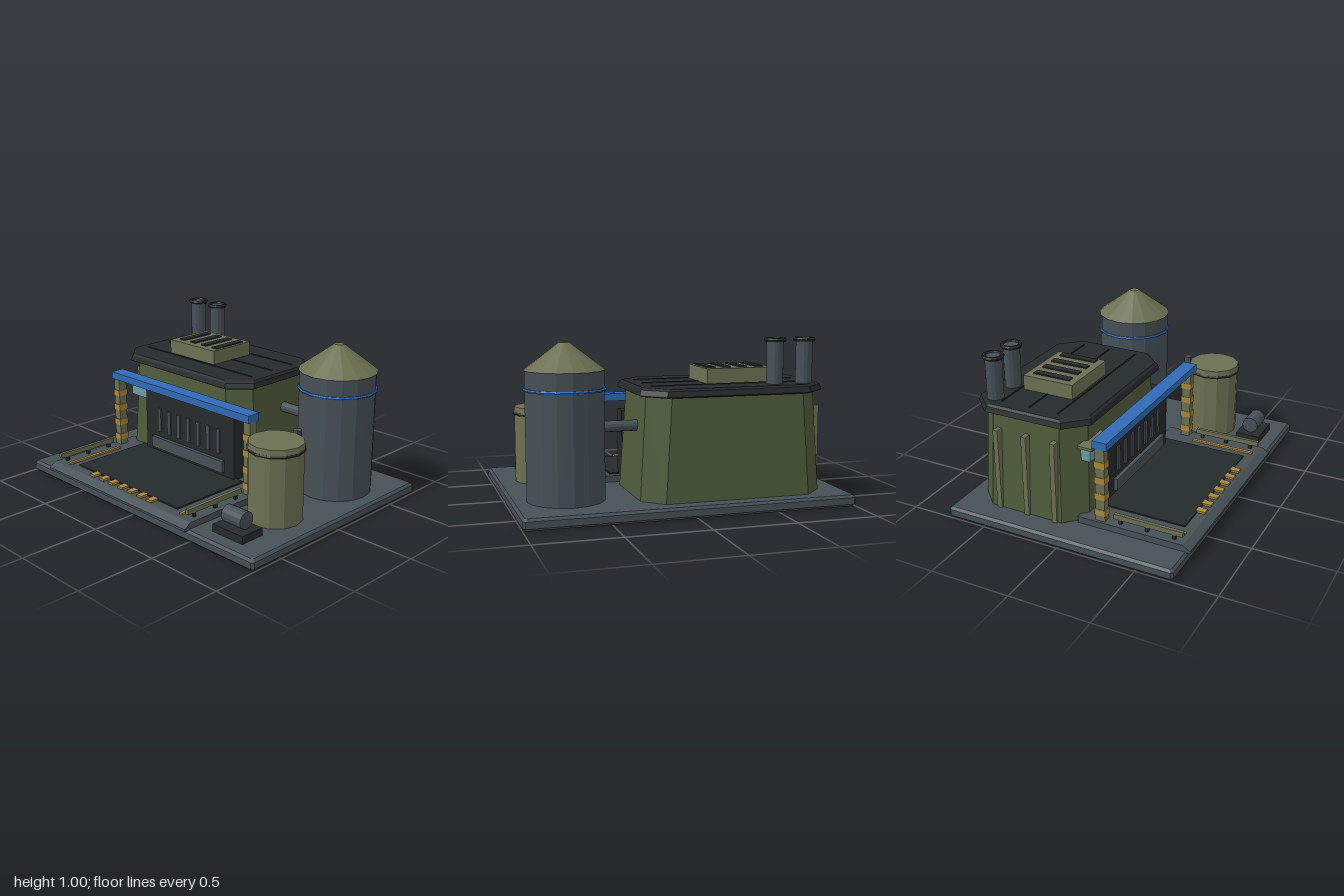
import * as THREE from 'three';

const mat = (color) => new THREE.MeshStandardMaterial({ color, flatShading: true });
const M = {
  steel: mat(0x465056), wall: mat(0x4f5b3c), olive: mat(0x6b7052), dark: mat(0x252a2b),
  blue: mat(0x2f6ab5), yellow: mat(0xa98539), glass: mat(0x6a9ba6),
};

// Stacked chamfered rectangles, each section [y, halfWidth, halfDepth, chamfer]
function loft(sections) {
  const pos = [];
  const rings = sections.map(([y, w, d, c]) => [
    [w, y, c - d], [w, y, d - c], [w - c, y, d], [c - w, y, d],
    [-w, y, d - c], [-w, y, c - d], [c - w, y, -d], [w - c, y, -d],
  ]);
  const tri = (...p) => p.forEach((v) => pos.push(...v));
  for (let s = 0; s < rings.length - 1; s++) {
    for (let i = 0; i < 8; i++) {
      const j = (i + 1) % 8, lo = rings[s], hi = rings[s + 1];
      tri(lo[i], hi[i], hi[j]);
      tri(lo[i], hi[j], lo[j]);
    }
  }
  const bottom = rings[0], top = rings[rings.length - 1];
  for (let i = 1; i < 7; i++) {
    tri(bottom[0], bottom[i], bottom[i + 1]);
    tri(top[0], top[i + 1], top[i]);
  }
  const g = new THREE.BufferGeometry();
  g.setAttribute('position', new THREE.Float32BufferAttribute(pos, 3));
  g.computeVertexNormals();
  return g;
}

export function createModel() {
  const root = new THREE.Group();
  root.name = 'factory';

  const add = (name, geo, material, x = 0, y = 0, z = 0, parent = root) => {
    const m = new THREE.Mesh(geo, material);
    m.name = name;
    m.position.set(x, y, z);
    parent.add(m);
    return m;
  };
  // Box from its limits on each axis
  const box = (name, material, x0, x1, y0, y1, z0, z1, parent) =>
    add(name, new THREE.BoxGeometry(x1 - x0, y1 - y0, z1 - z0), material,
      (x0 + x1) / 2, (y0 + y1) / 2, (z0 + z1) / 2, parent);
  // Upright cylinder or cone from y0 to y1
  const cyl = (name, material, x, z, y0, y1, r0, r1 = r0, sides = 16, parent = root) =>
    add(name, new THREE.CylinderGeometry(r1, r0, y1 - y0, sides), material, x, (y0 + y1) / 2, z, parent);
  const ring = (name, material, x, y, z, r, tube, sides, parent) => {
    const m = add(name, new THREE.TorusGeometry(r, tube, 6, sides), material, x, y, z, parent);
    m.rotation.x = Math.PI / 2;
    return m;
  };
  const group = (name) => {
    const g = new THREE.Group();
    g.name = name;
    root.add(g);
    return g;
  };

  // Ground slab with bevelled edges
  add('baseSlab', loft([[0, 0.985, 0.725, 0.01], [0.015, 1, 0.74, 0.015],
    [0.055, 1, 0.74, 0.015], [0.07, 0.985, 0.725, 0.01]]), M.steel, 0, 0, -0.01);

  // Main hall with tapered walls and an overhanging roof
  const hall = group('hall');
  add('hallWalls', loft([[0.07, 0.565, 0.36, 0.12], [0.69, 0.525, 0.34, 0.12]]), M.wall, -0.285, 0, -0.29, hall);
  add('hallRoof', loft([[0.68, 0.555, 0.365, 0.122], [0.688, 0.57, 0.38, 0.125],
    [0.72, 0.56, 0.37, 0.125], [0.732, 0.545, 0.355, 0.122]]), M.dark, -0.285, 0, -0.285, hall);
  for (const z of [-0.475, -0.288, -0.1]) box('roofSeam', M.dark, -0.77, 0.2, 0.725, 0.737, z - 0.004, z + 0.004, hall);
  for (const z of [-0.47, -0.28, -0.09]) box('wallRib', M.olive, -0.865, -0.815, 0.07, 0.585, z - 0.016, z + 0.016, hall);

  // Roof vent with dark slots
  const vent = group('roofVent');
  box('ventBox', M.olive, -0.568, -0.155, 0.725, 0.822, -0.452, -0.12, vent);
  for (let i = 0; i < 4; i++) {
    const x = -0.5 + i * 0.101;
    box('ventSlot', M.dark, x - 0.023, x + 0.023, 0.81, 0.83, -0.41, -0.165, vent);
  }

  // Chimneys
  for (const x of [-0.735, -0.547]) {
    const chimney = group('chimney');
    cyl('chimneyPipe', M.steel, x, -0.54, 0.72, 0.995, 0.051, 0.051, 14, chimney);
    ring('chimneyRim', M.dark, x, 0.992, -0.54, 0.054, 0.013, 14, chimney);
  }

  // Shutter door with slats and a bumper
  const door = group('door');
  box('doorPanel', M.dark, -0.568, 0.25, 0.07, 0.53, 0, 0.105, door);
  for (let i = 0; i < 7; i++) {
    const x = -0.43 + i * 0.091;
    box('doorSlat', M.steel, x - 0.014, x + 0.014, 0.26, 0.42, 0.1, 0.115, door);
  }
  box('doorBumper', M.steel, -0.49, 0.17, 0.145, 0.222, 0.1, 0.13, door);

  // Window and its awning
  box('window', M.glass, -0.735, -0.568, 0.45, 0.545, 0, 0.085);
  box('windowAwning', M.olive, -0.785, -0.55, 0.55, 0.567, 0.03, 0.125);

  // Loading apron with a sloped front lip
  const apron = group('apron');
  const side = new THREE.Shape([[-0.03, 0.065], [-0.745, 0.065], [-0.745, 0.08], [-0.7, 0.11], [-0.03, 0.11]]
    .map(([x, y]) => new THREE.Vector2(x, y)));
  const slab = add('apronSlab', new THREE.ExtrudeGeometry(side, { depth: 1.29, bevelEnabled: false }),
    M.steel, -0.8, 0, 0, apron);
  slab.rotation.y = Math.PI / 2;
  box('apronMat', M.dark, -0.625, 0.31, 0.1, 0.119, 0.08, 0.635, apron);
  for (let i = 0; i < 7; i++) {
    const x = -0.427 + i * 0.09;
    box('warningMark', M.yellow, x - 0.022, x + 0.022, 0.1, 0.123, 0.627, 0.685, apron);
  }
  for (const s of [-1, 1]) {
    const line = -0.157 + s * 0.533, rail = -0.157 + s * 0.602;
    box('guideLine', M.yellow, line - 0.011, line + 0.011, 0.1, 0.122, 0.25, 0.67, apron);
    box('guideRail', M.olive, rail - 0.011, rail + 0.011, 0.138, 0.17, 0.25, 0.685, apron);
    for (const z of [0.29, 0.46, 0.63]) box('railFoot', M.dark, rail - 0.008, rail + 0.008, 0.1, 0.145, z - 0.01, z + 0.01, apron);
  }

  // Gantry over the door
  const gantry = group('gantry');
  box('gantryBeam', M.blue, -0.785, 0.475, 0.575, 0.622, 0.125, 0.217, gantry);
  for (const x of [-0.758, 0.446]) {
    box('gantryPost', M.olive, x - 0.025, x + 0.025, 0.1, 0.58, 0.14, 0.2, gantry);
    for (const y of [0.165, 0.27, 0.375, 0.475]) {
      box('postBand', M.yellow, x - 0.028, x + 0.028, y - 0.02, y + 0.02, 0.135, 0.205, gantry);
    }
  }

  // Tall silo and the pipe joining it to the hall
  const silo = group('silo');
  cyl('siloBody', M.steel, 0.68, -0.345, 0.07, 0.835, 0.233, 0.233, 16, silo);
  cyl('siloRoof', M.olive, 0.68, -0.345, 0.832, 0.99, 0.24, 0.03, 16, silo);
  ring('siloBand', M.blue, 0.68, 0.722, -0.345, 0.235, 0.01, 16, silo);
  const pipe = cyl('siloPipe', M.steel, 0.34, -0.35, 0.34, 0.64, 0.033, 0.033, 12, silo);
  pipe.rotation.z = Math.PI / 2;

  // Small tank with a lid and a standpipe behind
  const tank = group('tank');
  cyl('tankBody', M.olive, 0.72, 0.245, 0.07, 0.505, 0.165, 0.165, 12, tank);
  ring('tankBand', M.dark, 0.72, 0.505, 0.245, 0.165, 0.01, 12, tank);
  cyl('tankLid', M.olive, 0.72, 0.245, 0.505, 0.548, 0.17, 0.165, 12, tank);
  cyl('standpipe', M.steel, 0.715, 0.055, 0.27, 0.56, 0.026, 0.026, 10, tank);

  // Pump on a dark plinth
  const pump = group('pump');
  box('pumpPlinth', M.dark, 0.6, 0.83, 0.065, 0.117, 0.47, 0.632, pump);
  const motor = cyl('pumpMotor', M.steel, 0.713, 0.553, 0.1, 0.247, 0.053, 0.053, 14, pump);
  motor.rotation.z = Math.PI / 2;

  return root;
}
